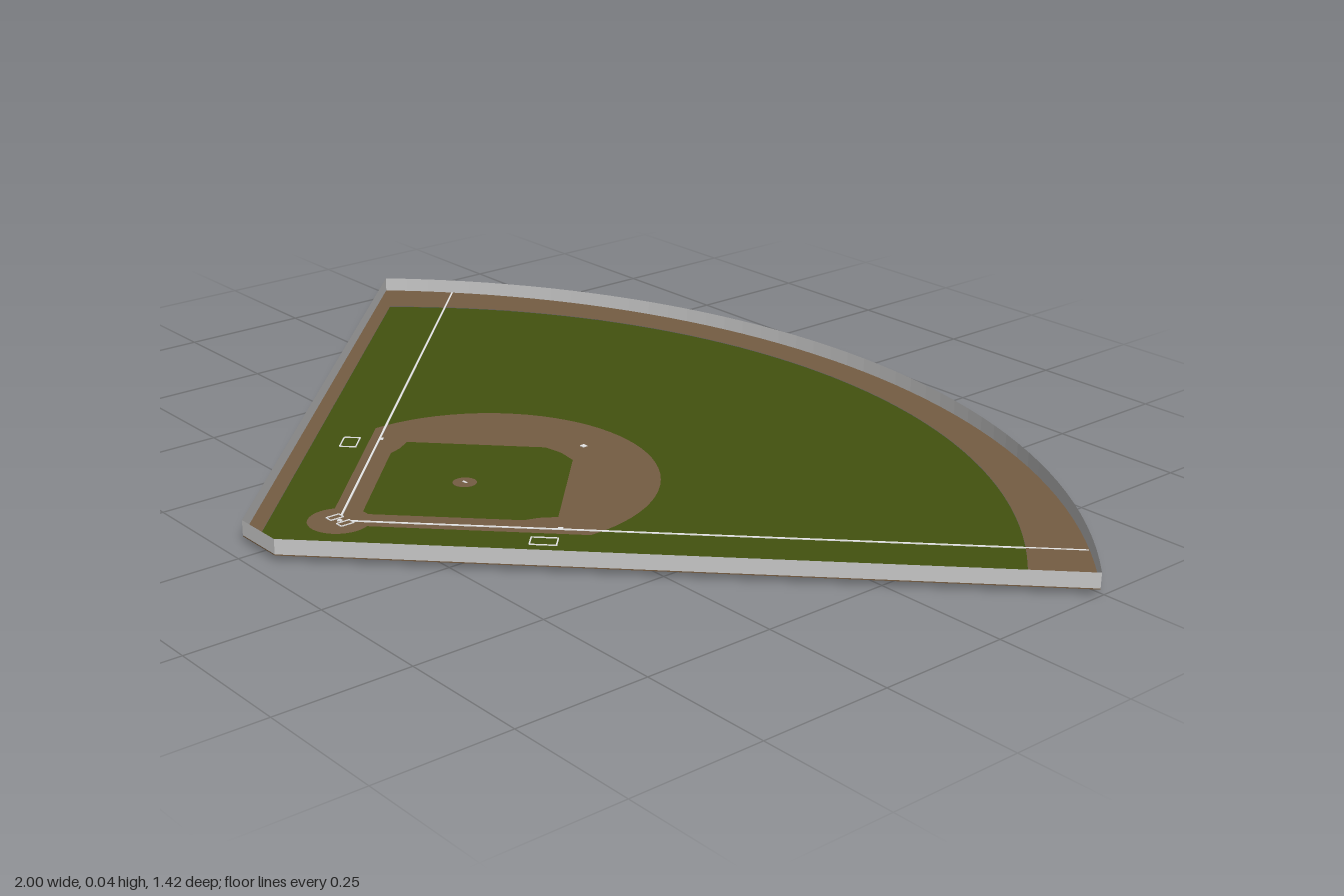
import * as THREE from 'three';

const mat = (name, color, side = THREE.FrontSide) =>
  Object.assign(new THREE.MeshStandardMaterial({ color, side }), { name });

export function createModel() {
  const root = new THREE.Group();
  root.name = 'ballField';
  const grass = mat('grass', 0x43520f);
  const dirt = mat('dirt', 0x755d43);
  const white = mat('chalk', 0xf2f2f2);
  const grey = mat('wallGrey', 0xc8c8c8, THREE.DoubleSide);

  const add = (name, geo, material, parent = root) => {
    const m = new THREE.Mesh(geo, material);
    m.name = name;
    parent.add(m);
    return m;
  };

  // Plan points are [x, z]; angles in degrees, -90 points to the outfield
  const arc = (cz, r, a0, a1, n) => Array.from({ length: n + 1 }, (_, i) => {
    const a = THREE.MathUtils.degToRad(a0 + (a1 - a0) * i / n);
    return [r * Math.cos(a), cz + r * Math.sin(a)];
  });
  const fan = (cz, r, halfX) => {
    const h = THREE.MathUtils.radToDeg(Math.asin(halfX / r));
    return arc(cz, r, -90 - h, -90 + h, 48);
  };
  const vecs = pts => pts.map(([x, z]) => new THREE.Vector2(x, -z));
  const slab = (name, pts, holes, y0, y1, material) => {
    const s = new THREE.Shape(vecs(pts));
    s.holes = holes.map(h => new THREE.Path(vecs(h)));
    const g = new THREE.ExtrudeGeometry(s, { depth: y1 - y0, bevelEnabled: false });
    g.rotateX(-Math.PI / 2).translate(0, y0, 0);
    return add(name, g, material);
  };

  // Outlines of the ground areas
  const trackEdge = [...fan(0.575, 1.29, 1), [0.05, 0.71], [-0.05, 0.71]];
  const grassEdge = [...fan(0.547, 1.157, 0.9), [0.04, 0.68], [-0.04, 0.68]];
  const infieldEdge = [
    ...arc(0.245, 0.32, -181.8, 1.8, 40),
    ...arc(0.55, 0.055, -26.25, 206.25, 24),
  ];
  const half = [[0.008, 0.495], [0.198, 0.305], [0.207, 0.278], [0.225, 0.25], [0.04, 0.068]];
  const diamondEdge = [...half, [0, 0.062], ...half.map(([x, z]) => [-x, z]).reverse()];
  const moundEdge = arc(0.283, 0.022, 0, 345, 23);

  // Ground
  slab('warningTrack', trackEdge, [grassEdge], 0.012, 0.014, dirt);
  slab('outfieldGrass', grassEdge, [infieldEdge], 0, 0.013, grass);
  slab('infieldDirt', infieldEdge, [diamondEdge], 0, 0.013, dirt);
  slab('infieldGrass', diamondEdge, [moundEdge], 0, 0.013, grass);
  slab('pitchersMound', moundEdge, [], 0, 0.0135, dirt);

  // Boundary wall: a thin upright sheet around the field
  const wallPath = [...fan(0.676, 1.356, 1), [0.05, 0.71], [-0.05, 0.71], [-1, -0.24]];
  const pos = [];
  for (let i = 0; i < wallPath.length - 1; i++) {
    const [ax, az] = wallPath[i], [bx, bz] = wallPath[i + 1];
    const lo = 0.014, hi = 0.042;
    pos.push(ax, lo, az, ax, hi, az, bx, hi, bz, ax, lo, az, bx, hi, bz, bx, lo, bz);
  }
  const wallGeo = new THREE.BufferGeometry();
  wallGeo.setAttribute('position', new THREE.Float32BufferAttribute(pos, 3));
  wallGeo.computeVertexNormals();
  add('boundaryWall', wallGeo, grey);

  // Chalk stripe between two plan points
  const stripe = (name, [ax, az], [bx, bz], w = 0.003, parent = root) => {
    const m = add(name, new THREE.BoxGeometry(Math.hypot(bx - ax, bz - az), 0.0015, w), white, parent);
    m.position.set((ax + bx) / 2, 0.0138, (az + bz) / 2);
    m.rotation.y = -Math.atan2(bz - az, bx - ax);
  };
  // Chalk rectangle outline
  const box = (name, cx, cz, l, w, angle, t) => {
    const g = new THREE.Group();
    g.name = name;
    const c = [[-l, -w], [l, -w], [l, w], [-l, w]].map(p => p.map(v => v / 2));
    c.forEach((p, i) => stripe('boxLine', p, c[(i + 1) % 4], t, g));
    g.position.set(cx, 0, cz);
    g.rotation.y = angle;
    root.add(g);
  };

  // Foul lines, coach boxes, batter boxes and side bases
  for (const s of [-1, 1]) {
    stripe('foulLine', [s * 0.015, 0.535], [s * 0.893, -0.343], 0.004);
    box('coachBox', s * 0.29, 0.333, 0.046, 0.03, s * Math.PI / 4, 0.0025);
    box('batterBox', s * 0.016, 0.548, 0.015, 0.026, 0, 0.002);
    stripe('sideBase', [s * 0.264, 0.276], [s * 0.27, 0.282], 0.009);
  }
  stripe('secondBase', [-0.005, 0.01], [0.005, 0.01], 0.01);
  stripe('pitchingRubber', [-0.005, 0.283], [0.005, 0.283], 0.004);
  slab('homePlate', [[-0.004, 0.545], [0.004, 0.545], [0.004, 0.55], [0, 0.554], [-0.004, 0.55]],
    [], 0.0125, 0.0145, white);

  return root;
}
